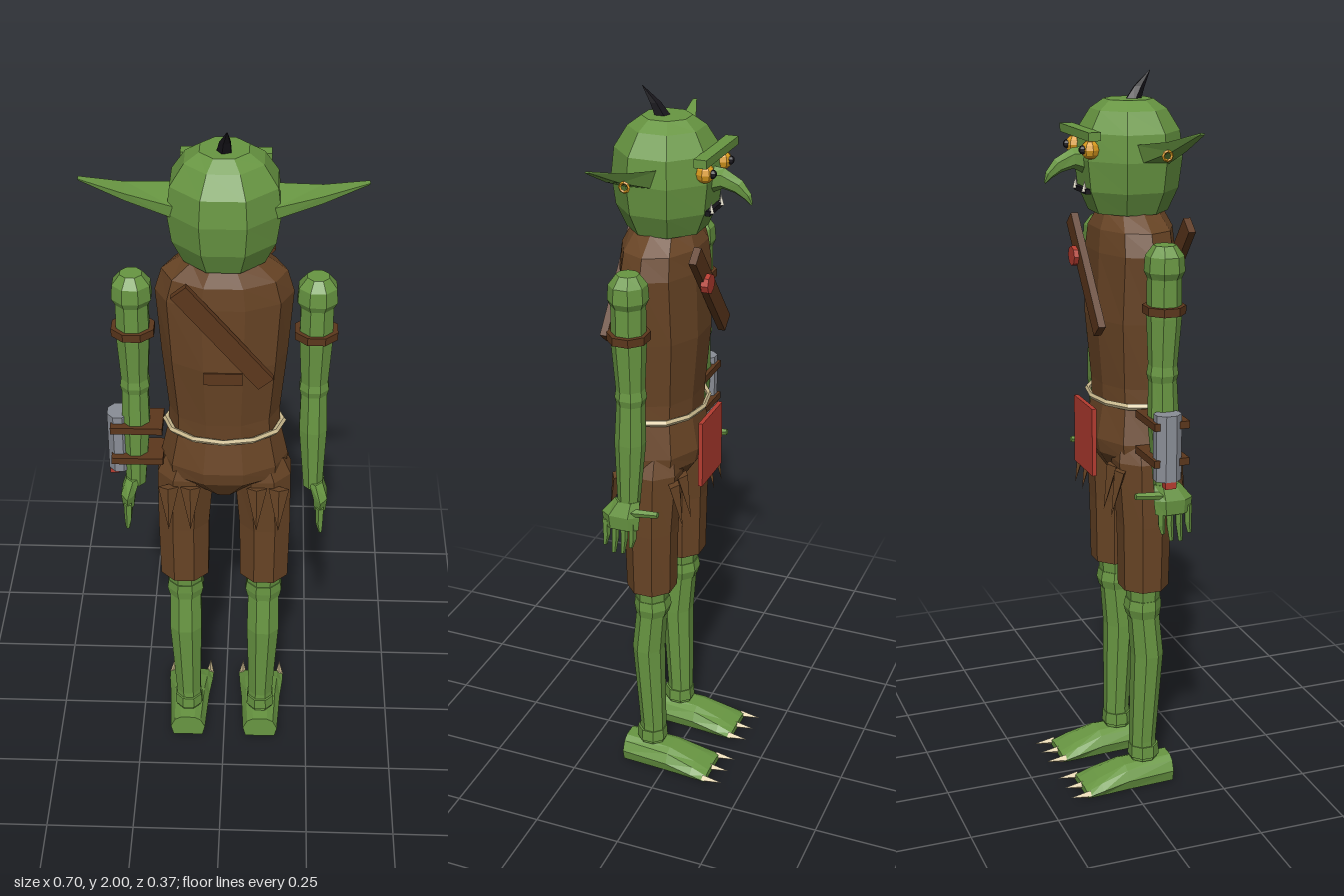
import * as THREE from 'three';

const mat = (name, color, extra = {}) => {
  const m = new THREE.MeshStandardMaterial({ color, flatShading: true, ...extra });
  m.name = name;
  return m;
};

export function createModel() {
  const M = {
    skin: mat('green skin', 0x689642),
    cloth: mat('brown cloth', 0x684425),
    leather: mat('dark leather', 0x5c371c),
    rope: mat('rope and claw', 0xcdbc90),
    red: mat('red', 0xb53c30),
    metal: mat('grey metal', 0x8a8e97),
    black: mat('black', 0x17151b),
    gold: mat('amber', 0xd99a1e),
    tooth: mat('tooth', 0xe9e4d2),
  };
  const root = new THREE.Group();
  root.name = 'goblin';

  const add = (name, geo, m, x = 0, y = 0, z = 0, rx = 0, ry = 0, rz = 0) => {
    const mesh = new THREE.Mesh(geo, m);
    mesh.name = name;
    mesh.position.set(x, y, z);
    mesh.rotation.set(rx, ry, rz);
    root.add(mesh);
    return mesh;
  };
  const box = (w, h, d) => new THREE.BoxGeometry(w, h, d);

  // Skin a list of equal-length point loops, cap the ends, face outwards
  const loft = (rings) => {
    const tris = [];
    const n = rings[0].length;
    const tri = (a, b, c) => tris.push([a, b, c]);
    for (let i = 0; i < rings.length - 1; i++)
      for (let j = 0; j < n; j++) {
        const k = (j + 1) % n, A = rings[i], B = rings[i + 1];
        tri(A[j], A[k], B[k]);
        tri(A[j], B[k], B[j]);
      }
    const last = rings[rings.length - 1];
    for (let j = 1; j < n - 1; j++) {
      tri(rings[0][0], rings[0][j + 1], rings[0][j]);
      tri(last[0], last[j], last[j + 1]);
    }
    const v = (p) => new THREE.Vector3(...p);
    const o = v(rings[0][0]);
    let vol = 0;
    for (const [a, b, c] of tris) vol += v(a).sub(o).dot(v(b).sub(o).cross(v(c).sub(o)));
    const pos = tris.flatMap(([a, b, c]) => (vol < 0 ? [a, c, b] : [a, b, c]).flat());
    const g = new THREE.BufferGeometry();
    g.setAttribute('position', new THREE.Float32BufferAttribute(pos, 3));
    g.computeVertexNormals();
    return g;
  };
  // Upright body of elliptical rings: [y, cx, cz, rx, rz]
  const column = (rows, n = 8, phase = 0.5) =>
    loft(rows.map(([y, cx, cz, rx, rz]) =>
      Array.from({ length: n }, (_, i) => {
        const a = ((i + phase) / n) * Math.PI * 2;
        return [cx + rx * Math.cos(a), y, cz + rz * Math.sin(a)];
      })));

  // Head
  add('head', column([
    [1.64, 0, 0.044, 0.11, 0.105], [1.7, 0, 0.044, 0.14, 0.132], [1.78, 0, 0.044, 0.152, 0.142],
    [1.85, 0, 0.044, 0.143, 0.134], [1.905, 0, 0.044, 0.105, 0.1], [1.93, 0, 0.044, 0.065, 0.065],
  ]), M.skin);
  add('hairTuft', column([
    [1.915, 0, 0.05, 0.022, 0.025], [1.96, 0.003, 0.075, 0.015, 0.015], [2.0, 0.008, 0.107, 0.001, 0.001],
  ], 5), M.black);
  add('brow', box(0.23, 0.022, 0.034), M.skin, 0, 1.849, -0.089);

  // Hooked nose: [y, z, half width, half height, slope]
  add('nose', loft([
    [1.775, -0.07, 0.026, 0.038, 0], [1.782, -0.11, 0.025, 0.027, 0.1],
    [1.765, -0.15, 0.018, 0.02, 0.5], [1.742, -0.175, 0.011, 0.012, 0.8], [1.722, -0.186, 0.002, 0.003, 0.8],
  ].map(([y, z, w, h, s]) => Array.from({ length: 6 }, (_, i) => {
    const a = (i / 6) * Math.PI * 2 + Math.PI / 6, u = h * Math.sin(a);
    return [w * Math.cos(a), y + u * Math.cos(s), z - u * Math.sin(s)];
  }))), M.skin);
  add('mouth', box(0.095, 0.013, 0.014), M.black, 0, 1.7, -0.084);

  for (const s of [1, -1]) {
    // Face details
    add('eye', new THREE.SphereGeometry(0.025, 8, 6), M.gold, s * 0.062, 1.81, -0.083);
    add('pupil', new THREE.SphereGeometry(0.012, 6, 5), M.black, s * 0.064, 1.811, -0.103);
    add('fang', new THREE.ConeGeometry(0.008, 0.03, 4), M.tooth, s * 0.036, 1.714, -0.09);

    // Long swept ear
    add('ear', loft([
      [[1.825, 0.015], [1.775, 0.028], [1.772, 0.107], [1.805, 0.11]].map(([y, z]) => [s * 0.125, y, z]),
      [[1.845, 0.06], [1.82, 0.07], [1.818, 0.108], [1.838, 0.111]].map(([y, z]) => [s * 0.24, y, z]),
      [[1.878, 0.1], [1.874, 0.1], [1.872, 0.11], [1.876, 0.112]].map(([y, z]) => [s * 0.35, y, z]),
    ]), M.skin);
    add('earring', new THREE.TorusGeometry(0.012, 0.004, 4, 8), M.gold, s * 0.238, 1.81, 0.06, 0, Math.PI / 2);

    // Arm with shoulder ball, elbow and leather band
    const ax = s * 0.237;
    add('shoulder', column([
      [1.5, ax, 0.055, 0.044, 0.044], [1.52, ax, 0.055, 0.055, 0.053], [1.56, ax, 0.055, 0.052, 0.05],
      [1.587, ax, 0.055, 0.03, 0.03],
    ]), M.skin);
    add('upperArm', column([
      [1.25, ax, 0.052, 0.037, 0.037], [1.4, ax, 0.055, 0.046, 0.046], [1.52, ax, 0.055, 0.045, 0.045],
    ]), M.skin);
    add('elbow', column([
      [1.225, ax, 0.052, 0.036, 0.036], [1.25, ax, 0.052, 0.042, 0.042], [1.275, ax, 0.052, 0.038, 0.038],
    ]), M.skin);
    add('forearm', column([
      [0.93, s * 0.243, 0.06, 0.028, 0.03], [1.12, s * 0.238, 0.055, 0.04, 0.042], [1.25, ax, 0.052, 0.037, 0.037],
    ]), M.skin);
    add('armBand', column([[1.41, ax, 0.055, 0.06, 0.056], [1.432, ax, 0.055, 0.06, 0.056]]), M.leather);

    // Hand, flat against the thigh
    const hx = s * 0.264;
    add('palm', column([
      [0.87, hx, 0.075, 0.018, 0.05], [0.91, hx, 0.075, 0.022, 0.055], [0.95, s * 0.25, 0.062, 0.022, 0.036],
    ], 6), M.skin);
    [0.118, 0.092, 0.066, 0.042].forEach((z, i) => {
      const tip = [0.81, 0.79, 0.793, 0.815][i];
      add('finger', column([
        [tip, hx + s * 0.003, z + 0.004, 0.005, 0.006], [0.84, hx, z, 0.011, 0.01], [0.89, hx, z, 0.012, 0.011],
      ], 5), M.skin);
    });
    add('thumb', new THREE.CylinderGeometry(0.009, 0.012, 0.08, 5), M.skin, hx, 0.925, 0.008, -Math.PI / 2 + 0.1);

    // Leg: trouser, shin, knee, ankle
    const lx = s * 0.113;
    add('trouserLeg', column([
      [0.61, lx, 0.05, 0.073, 0.07], [0.8, lx, 0.05, 0.076, 0.074], [0.98, s * 0.105, 0.05, 0.083, 0.086],
      [1.03, s * 0.095, 0.05, 0.07, 0.075],
    ]), M.cloth);
    add('lowerLeg', column([
      [0.07, s * 0.109, 0.055, 0.038, 0.04], [0.13, s * 0.109, 0.052, 0.038, 0.038],
      [0.4, lx, 0.062, 0.05, 0.046], [0.53, lx, 0.05, 0.048, 0.044], [0.64, lx, 0.05, 0.054, 0.05],
    ]), M.skin);
    add('knee', column([
      [0.52, lx, 0.05, 0.05, 0.047], [0.545, lx, 0.048, 0.056, 0.052], [0.572, lx, 0.05, 0.052, 0.049],
    ]), M.skin);
    add('ankle', column([[0.08, s * 0.109, 0.055, 0.044, 0.045], [0.115, s * 0.109, 0.055, 0.042, 0.043]]), M.skin);

    // Foot: [z, half width, height]
    add('foot', loft([
      [0.13, 0.052, 0.072], [-0.01, 0.06, 0.066], [-0.09, 0.068, 0.04], [-0.135, 0.07, 0.02],
    ].map(([z, w, h]) => [
      [-0.85, 0], [0.85, 0], [1, 0.45], [0.75, 0.85], [0.4, 1], [-0.4, 1], [-0.75, 0.85], [-1, 0.45],
    ].map(([u, v]) => [s * 0.11 + u * w, v * h, z]))), M.skin);
    for (const dx of [-0.058, 0, 0.058])
      add('toeClaw', new THREE.ConeGeometry(0.012, 0.06, 4), M.rope, s * 0.11 + dx, 0.011, -0.157, -Math.PI / 2);

    // Ragged hem points, back and front
    for (const z of [0.145, -0.045])
      for (const x of [0.15, 0.09]) {
        const shard = add('hemPoint', new THREE.ConeGeometry(0.028, 0.13, 4), M.cloth,
          s * x, 0.9, z, z > 0 ? Math.PI - 0.2 : Math.PI + 0.2);
        shard.scale.z = 0.6;
      }
  }

  // Tunic
  add('tunic', column([
    [0.92, 0, 0.05, 0.05, 0.06], [0.99, 0, 0.05, 0.17, 0.11], [1.03, 0, 0.05, 0.172, 0.118],
    [1.13, 0, 0.05, 0.15, 0.098], [1.18, 0, 0.05, 0.148, 0.1], [1.36, 0, 0.05, 0.165, 0.117],
    [1.54, 0, 0.05, 0.178, 0.113], [1.6, 0, 0.05, 0.16, 0.107], [1.645, 0, 0.05, 0.1, 0.085],
  ], 10, 0), M.cloth);
  const belt = add('ropeBelt', new THREE.TorusGeometry(0.157, 0.009, 5, 12), M.rope, 0, 1.136, 0.05, Math.PI / 2);
  belt.scale.y = 0.7;
  add('backPatch', box(0.1, 0.035, 0.02), M.leather, 0, 1.34, 0.155);

  // Crossing shoulder straps and badge
  const strap = box(0.05, 0.345, 0.02);
  add('backStrap', strap, M.leather, 0, 1.475, 0.176, 0, 0, 0.69);
  add('frontStrap', strap, M.leather, 0, 1.475, -0.075, 0, 0, -0.69);
  add('strapBadge', new THREE.CylinderGeometry(0.027, 0.027, 0.02, 8), M.red, 0.052, 1.515, -0.088, Math.PI / 2);

  // Hanging cloth at the front
  add('beltCloth', box(0.15, 0.19, 0.012), M.red, 0, 1.025, -0.079);

  // Guard on the right forearm
  add('guardPlate', column([[0.975, -0.286, 0.048, 0.032, 0.038], [1.155, -0.286, 0.048, 0.032, 0.038]], 8), M.metal);
  add('guardTip', box(0.024, 0.032, 0.03), M.red, -0.302, 0.972, 0.048);
  for (const y of [1.025, 1.125])
    add('guardStrap', box(0.14, 0.02, 0.098), M.leather, -0.235, y, 0.054);

  return root;
}
